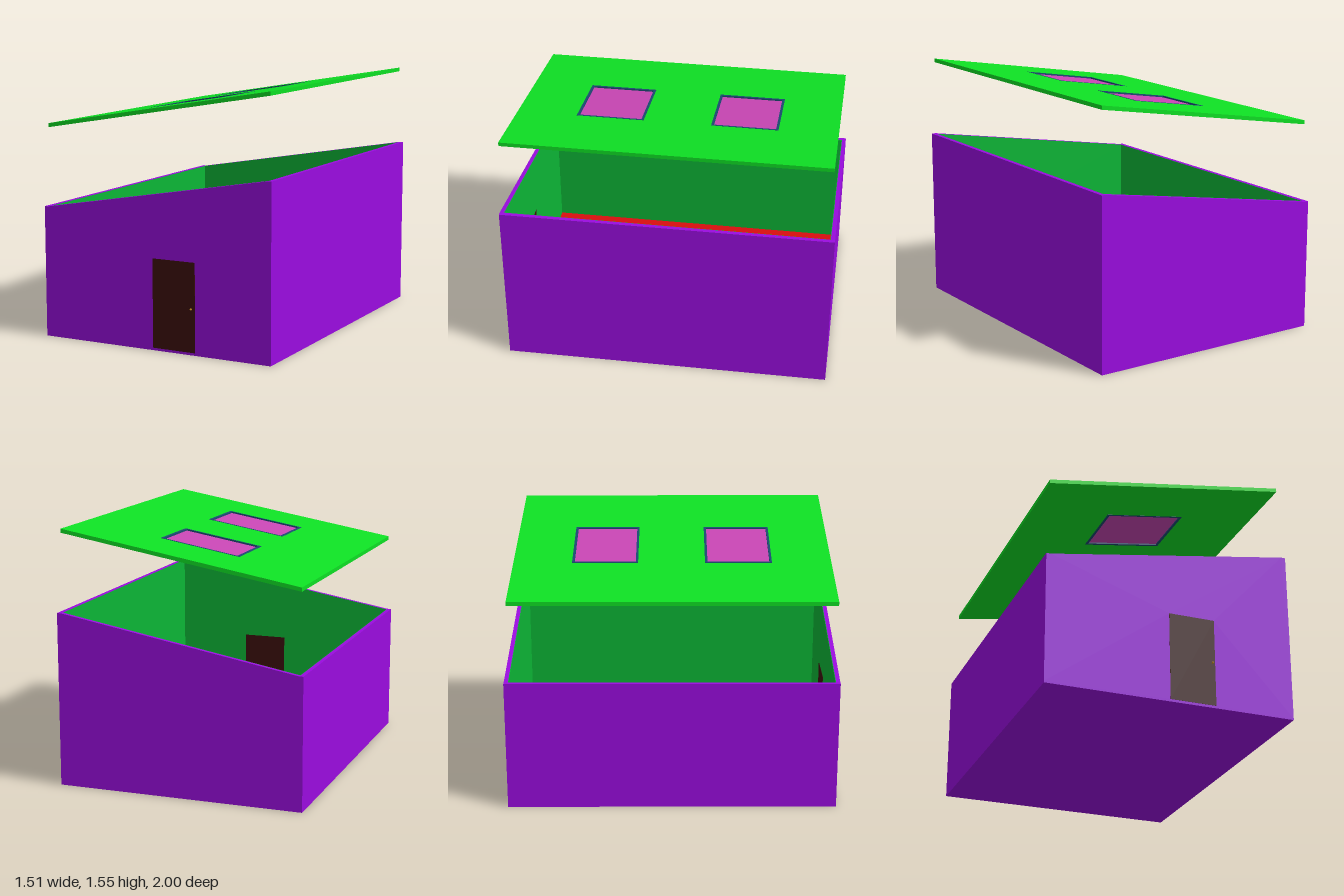
import * as THREE from 'three';

const PURPLE = 0x9a0cdf, GREEN = 0x0ee024, LINING = 0x0cb636, RED = 0xd80f0f;
const DOOR = 0x3d100c, FRAME = 0x1a4a70, PANE = 0xc846b4, GOLD = 0xc8921e;

// House extents, wall thickness and roof slope
const X = 0.757, BACK = -1, FRONT = 0.98, T = 0.025, LINE = 0.003;
const XI = X - T, LOW = 0.797, HIGH = 1.052;
const SLOPE = 0.1715, ROOF_Y = 1.398, ROOF_T = 0.024;
const door = { x0: -0.01, x1: 0.27, y0: 0.015, y1: 0.548 };

function add(group, name, geometry, color) {
  const mesh = new THREE.Mesh(geometry, new THREE.MeshStandardMaterial({ color }));
  mesh.name = name;
  group.add(mesh);
  return mesh;
}

// Box given by its lower and upper corners
function box(x0, y0, z0, x1, y1, z1) {
  return new THREE.BoxGeometry(x1 - x0, y1 - y0, z1 - z0)
    .translate((x0 + x1) / 2, (y0 + y1) / 2, (z0 + z1) / 2);
}

function rect(Type, x0, y0, x1, y1) {
  return new Type([[x0, y0], [x1, y0], [x1, y1], [x0, y1]].map(p => new THREE.Vector2(...p)));
}

// Gable wall with sloping top, standing between two z values
function endWall(half, y0, z0, z1, hasDoor) {
  const pts = [[-half, y0], [half, y0], [half, HIGH], [XI, HIGH], [-XI, LOW], [-half, LOW]];
  const shape = new THREE.Shape(pts.map(p => new THREE.Vector2(...p)));
  if (hasDoor) shape.holes.push(rect(THREE.Path, door.x0, door.y0, door.x1, door.y1));
  return new THREE.ExtrudeGeometry(shape, { depth: z1 - z0, bevelEnabled: false }).translate(0, 0, z0);
}

// Slab in the roof plane with rectangular openings [x0, z0, x1, z1], sheared to the slope
function roofSlab([x0, z0, x1, z1], holes, y, thickness) {
  const shape = rect(THREE.Shape, x0, -z1, x1, -z0);
  for (const h of holes) shape.holes.push(rect(THREE.Path, h[0], -h[3], h[2], -h[1]));
  const shear = new THREE.Matrix4().set(1, 0, 0, 0, SLOPE, 1, 0, 0, 0, 0, 1, 0, 0, 0, 0, 1);
  return new THREE.ExtrudeGeometry(shape, { depth: thickness, bevelEnabled: false })
    .rotateX(-Math.PI / 2).translate(0, y, 0).applyMatrix4(shear);
}

export function createModel() {
  const model = new THREE.Group();
  model.name = 'house';

  // Base and floor
  add(model, 'base', box(-X, 0, BACK, X, 0.009, FRONT), PURPLE);
  add(model, 'floor', box(-XI, 0.009, BACK + T, XI, 0.015, FRONT - T), RED);

  // Outer walls
  add(model, 'frontWall', endWall(X, 0.009, FRONT - T, FRONT, true), PURPLE);
  add(model, 'backWall', endWall(X, 0.009, BACK, BACK + T, false), PURPLE);
  add(model, 'leftWall', box(XI, 0.009, BACK + T, X, HIGH, FRONT - T), PURPLE);
  add(model, 'rightWall', box(-X, 0.009, BACK + T, -XI, LOW, FRONT - T), PURPLE);

  // Inner lining
  const zb = BACK + T, zf = FRONT - T;
  add(model, 'frontLining', endWall(XI, 0.015, zf - LINE, zf, true), LINING);
  add(model, 'backLining', endWall(XI, 0.015, zb, zb + LINE, false), LINING);
  add(model, 'leftLining', box(XI - LINE, 0.015, zb, XI, HIGH - 0.001, zf), LINING);
  add(model, 'rightLining', box(-XI, 0.015, zb, -XI + LINE, LOW - 0.001, zf), LINING);

  // Door with a knob on each face
  const doorGroup = new THREE.Group();
  doorGroup.name = 'door';
  model.add(doorGroup);
  add(doorGroup, 'doorPanel', box(door.x0, door.y0, zf - LINE - 0.001, door.x1, door.y1, FRONT + 0.001), DOOR);
  for (const [name, z, dir] of [['outerKnob', FRONT, 1], ['innerKnob', zf - LINE, -1]]) {
    const stem = new THREE.CylinderGeometry(0.003, 0.003, 0.014, 12).rotateX(Math.PI / 2);
    add(doorGroup, name + 'Stem', stem, GOLD).position.set(0.25, 0.275, z + dir * 0.007);
    const knob = new THREE.SphereGeometry(0.006, 16, 12);
    add(doorGroup, name, knob, GOLD).position.set(0.25, 0.275, z + dir * 0.014);
  }

  // Raised sloping roof with two skylights
  const roof = new THREE.Group();
  roof.name = 'roof';
  model.add(roof);
  const openings = [[-0.24, -0.615, 0.255, -0.215], [-0.24, 0.19, 0.255, 0.595]];
  add(roof, 'roofPanel', roofSlab([-0.735, -0.97, 0.735, 0.955], openings, ROOF_Y, ROOF_T), GREEN);
  for (const o of openings) {
    const inner = [o[0] + 0.017, o[1] + 0.015, o[2] - 0.014, o[3] - 0.014];
    add(roof, 'skylightFrame', roofSlab(o, [inner], ROOF_Y - 0.001, ROOF_T + 0.002), FRAME);
    add(roof, 'skylightPane', roofSlab(inner, [], ROOF_Y + 0.008, 0.008), PANE);
  }
  return model;
}
